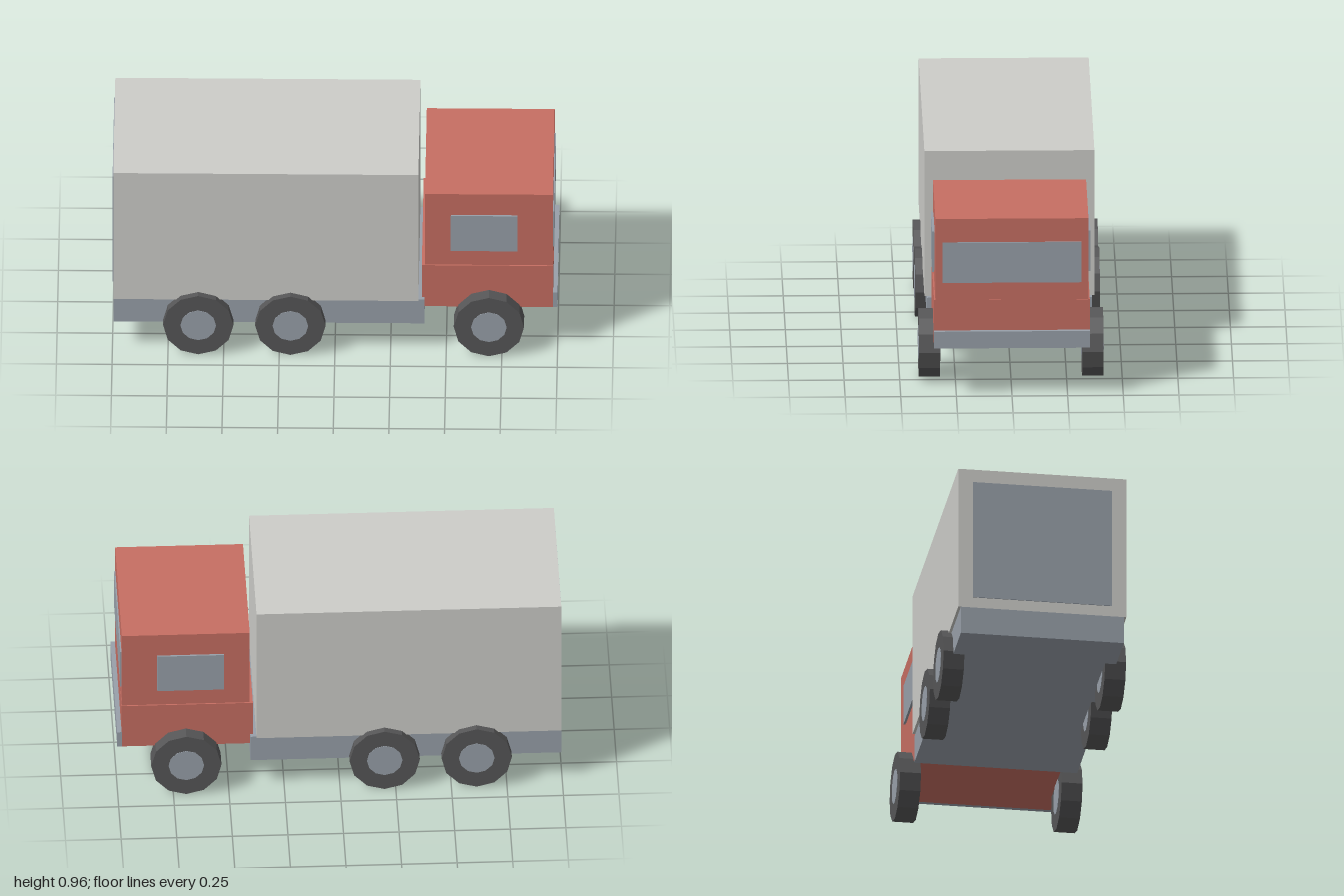
import * as THREE from 'three';

const material = (name, color) => {
  const m = new THREE.MeshStandardMaterial({ color, flatShading: true });
  m.name = name;
  return m;
};

export function createModel() {
  const truck = new THREE.Group();
  truck.name = 'truck';

  const red = material('cabRed', 0xc66e62);
  const grey = material('cargoGrey', 0xcdcdc9);
  const slate = material('slateGrey', 0x98a0a9);
  const rubber = material('tyreRubber', 0x565657);

  // Box given by its minimum and maximum on each axis
  const box = (name, mat, [x0, x1], [y0, y1], [z0, z1]) => {
    const mesh = new THREE.Mesh(new THREE.BoxGeometry(x1 - x0, y1 - y0, z1 - z0), mat);
    mesh.name = name;
    mesh.position.set((x0 + x1) / 2, (y0 + y1) / 2, (z0 + z1) / 2);
    truck.add(mesh);
  };

  // Cargo body, rear door and chassis
  box('cargoBox', grey, [-0.996, 0.375], [0.275, 0.958], [-0.382, 0.382]);
  box('rearDoor', slate, [-1, -0.993], [0.325, 0.895], [-0.315, 0.315]);
  box('chassis', slate, [-0.996, 0.402], [0.146, 0.275], [-0.37, 0.37]);

  // Cab
  box('cabLower', red, [0.39, 0.98], [0.226, 0.448], [-0.35, 0.35]);
  box('cabUpper', red, [0.404, 0.979], [0.448, 0.83], [-0.344, 0.344]);
  box('bumper', slate, [0.979, 1], [0.226, 0.305], [-0.351, 0.351]);
  box('windscreen', slate, [0.976, 0.985], [0.53, 0.72], [-0.313, 0.313]);
  box('sideWindowLeft', slate, [0.52, 0.82], [0.53, 0.72], [0.347, 0.356]);
  box('sideWindowRight', slate, [0.52, 0.82], [0.53, 0.72], [-0.356, -0.347]);

  // Three axles of twelve-sided wheels with hubs showing on both faces
  const tyre = new THREE.CylinderGeometry(0.158, 0.158, 0.095, 12).rotateX(Math.PI / 2);
  const hub = new THREE.CylinderGeometry(0.08, 0.08, 0.099, 12).rotateX(Math.PI / 2);
  for (const x of [-0.614, -0.2, 0.692]) {
    for (const side of [1, -1]) {
      const wheel = new THREE.Group();
      wheel.name = 'wheel';
      for (const [name, geometry, mat] of [['tyre', tyre, rubber], ['hub', hub, slate]]) {
        const mesh = new THREE.Mesh(geometry, mat);
        mesh.name = name;
        wheel.add(mesh);
      }
      wheel.position.set(x, 0.158, side * 0.367);
      truck.add(wheel);
    }
  }

  // Window plates sit just clear of the cab walls, held by slim frames
  for (const side of [1, -1]) {
    const z = [side * 0.343, side * 0.348].sort((a, b) => a - b);
    box('windowMount', slate, [0.525, 0.815], [0.535, 0.715], z);
  }

  return truck;
}
